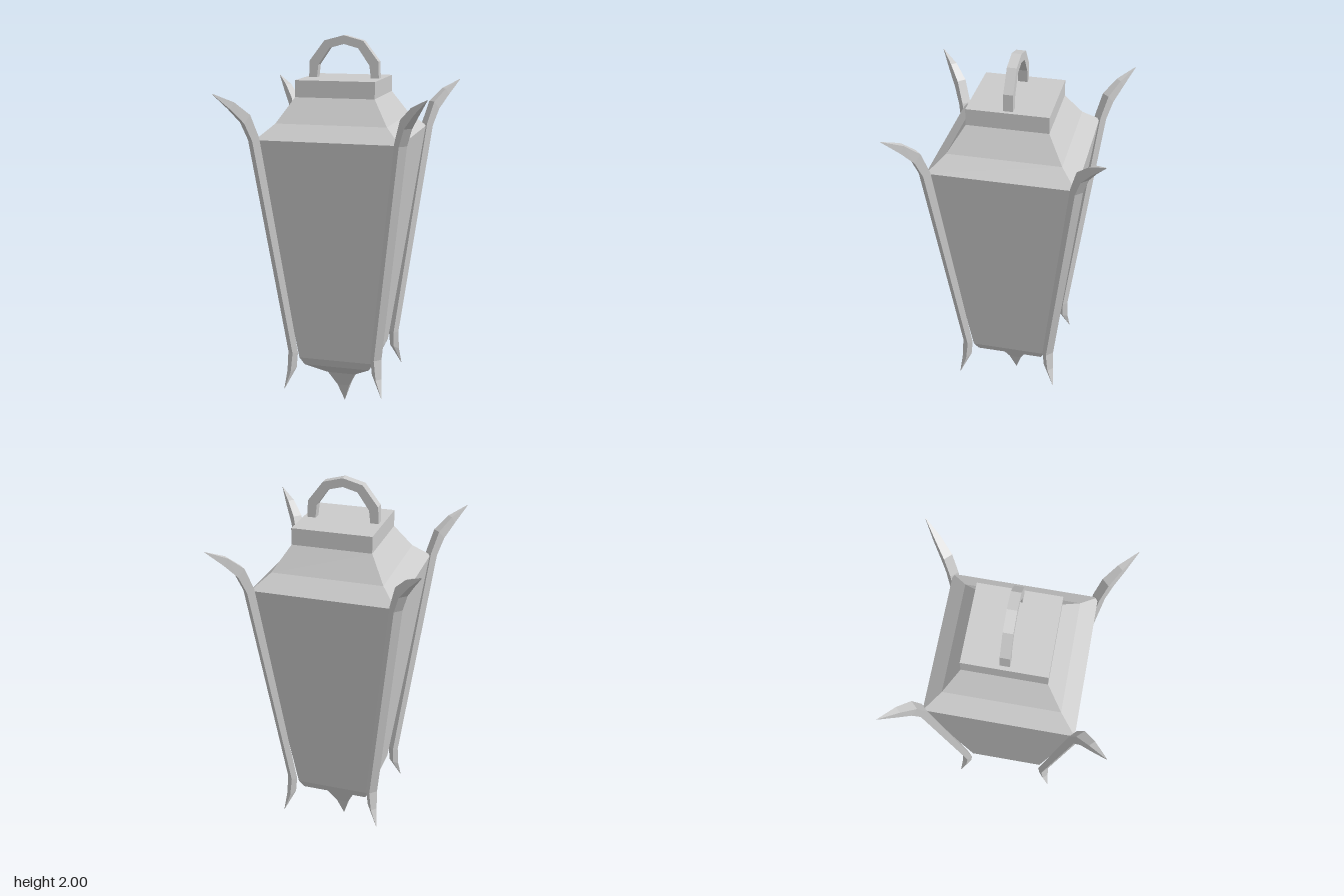
import * as THREE from 'three';

const material = new THREE.MeshStandardMaterial({ color: 0xcccccc, flatShading: true });

// Skin a stack of four-cornered rings (bottom to top) and cap both ends.
function loft(name, rings) {
  const pos = [];
  const quad = (a, b, c, d) => pos.push(...a, ...b, ...c, ...a, ...c, ...d);
  for (let i = 0; i < rings.length - 1; i++) {
    for (let j = 0; j < 4; j++) {
      const k = (j + 1) % 4;
      quad(rings[i][j], rings[i][k], rings[i + 1][k], rings[i + 1][j]);
    }
  }
  const [a, b, c, d] = rings[0];
  quad(d, c, b, a);
  quad(...rings[rings.length - 1]);
  const geometry = new THREE.BufferGeometry();
  geometry.setAttribute('position', new THREE.Float32BufferAttribute(pos, 3));
  geometry.computeVertexNormals();
  const mesh = new THREE.Mesh(geometry, material);
  mesh.name = name;
  return mesh;
}

// Horizontal square ring from half-width and height.
const square = ([r, y]) => [[r, y, r], [r, y, -r], [-r, y, -r], [-r, y, r]];

// Rib ring from outer and inner edge points (offsets along x and z alike) and half-thickness.
const ribRing = ([outer, yo, inner, yi, w]) => {
  const o = outer * Math.SQRT2, n = inner * Math.SQRT2;
  return [[o, yo, w], [o, yo, -w], [n, yi, -w], [n, yi, w]];
};

export function createModel() {
  const group = new THREE.Group();
  group.name = 'lantern';

  // Pointed finial and curved underside
  group.add(loft('bottomFinial', [
    [0.001, 0], [0.033, 0.1], [0.075, 0.185], [0.178, 0.26], [0.2, 0.305],
  ].map(square)));

  // Tapered glass body
  group.add(loft('body', [[0.2, 0.305], [0.367, 1.5]].map(square)));

  // Flared roof with square cap
  group.add(loft('roof', [
    [0.367, 1.5], [0.285, 1.575], [0.205, 1.7], [0.205, 1.785],
  ].map(square)));

  // Corner ribs with flared, pointed ends
  const ribRings = [
    [0.266, 0.145, 0.265, 0.146, 0.001],
    [0.245, 0.24, 0.219, 0.26, 0.018],
    [0.238, 0.345, 0.215, 0.345, 0.024],
    [0.385, 1.5, 0.358, 1.515, 0.024],
    [0.414, 1.59, 0.39, 1.63, 0.024],
    [0.462, 1.662, 0.447, 1.696, 0.017],
    [0.523, 1.74, 0.522, 1.742, 0.001],
  ].map(ribRing);
  for (let i = 0; i < 4; i++) {
    const rib = loft('cornerRib', ribRings);
    rib.rotation.y = Math.PI / 4 + i * Math.PI / 2;
    group.add(rib);
  }

  // Faceted carrying ring
  const outer = [[0.185, 1.78], [0.181, 1.87], [0.102, 1.973], [0, 2]];
  const inner = [[0.143, 1.78], [0.135, 1.85], [0.075, 1.936], [0, 1.956]];
  const mirror = (pts) => pts.slice(0, 3).reverse().map(([x, y]) => [-x, y]);
  const arch = (pts) => [...pts, ...mirror(pts)];
  const outline = [...arch(outer), ...arch(inner).reverse()];
  const shape = new THREE.Shape(outline.map(([x, y]) => new THREE.Vector2(x, y)));
  const handle = new THREE.Mesh(
    new THREE.ExtrudeGeometry(shape, { depth: 0.048, bevelEnabled: false }), material);
  handle.name = 'handle';
  handle.position.z = -0.024;
  group.add(handle);

  return group;
}
